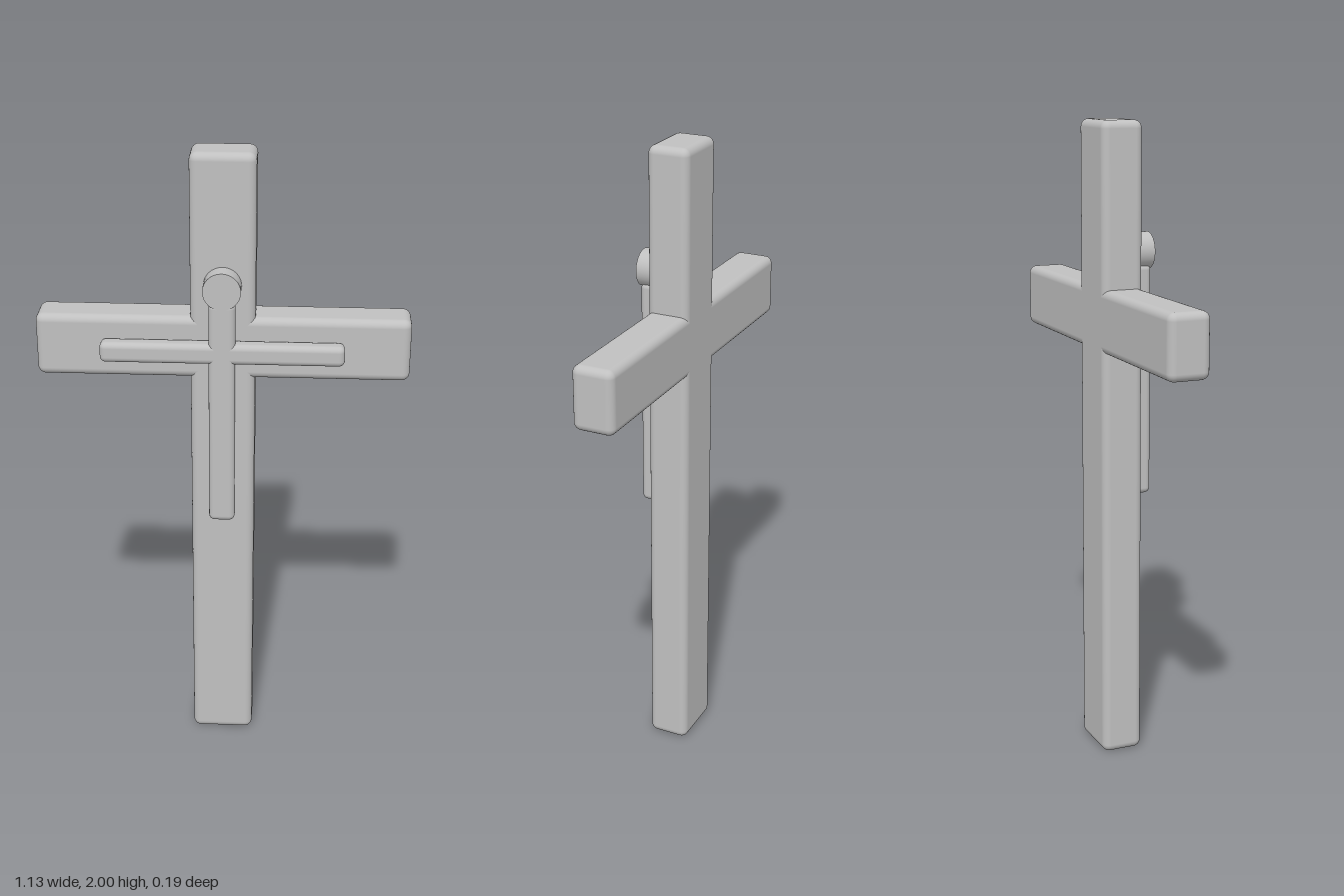
import * as THREE from 'three';
import { RoundedBoxGeometry } from 'three/addons/geometries/RoundedBoxGeometry.js';

export function createModel() {
  const group = new THREE.Group();
  group.name = 'cross';
  const stone = new THREE.MeshStandardMaterial({ color: 0xc0c0c0 });
  stone.name = 'grey stone';

  // Rounded bar given by its lower and upper corners
  function bar(name, [x0, y0, z0], [x1, y1, z1], radius) {
    const geometry = new RoundedBoxGeometry(x1 - x0, y1 - y0, z1 - z0, 4, radius);
    const mesh = new THREE.Mesh(geometry, stone);
    mesh.name = name;
    mesh.position.set((x0 + x1) / 2, (y0 + y1) / 2, (z0 + z1) / 2);
    group.add(mesh);
  }

  // Large cross
  bar('upright', [-0.098, 0, -0.094], [0.098, 2, 0.037], 0.024);
  bar('crossbar', [-0.565, 1.304, -0.094], [0.565, 1.5, 0.037], 0.024);

  // Simplified figure on the front
  bar('figureBody', [-0.04, 0.838, 0.036], [0.04, 1.565, 0.091], 0.018);
  bar('figureArms', [-0.367, 1.37, 0.036], [0.367, 1.434, 0.091], 0.018);

  // Disc-shaped head facing forward
  const head = new THREE.Mesh(new THREE.CylinderGeometry(0.057, 0.057, 0.058, 32), stone);
  head.name = 'figureHead';
  head.rotation.x = Math.PI / 2;
  head.position.set(0, 1.604, 0.065);
  group.add(head);

  return group;
}
